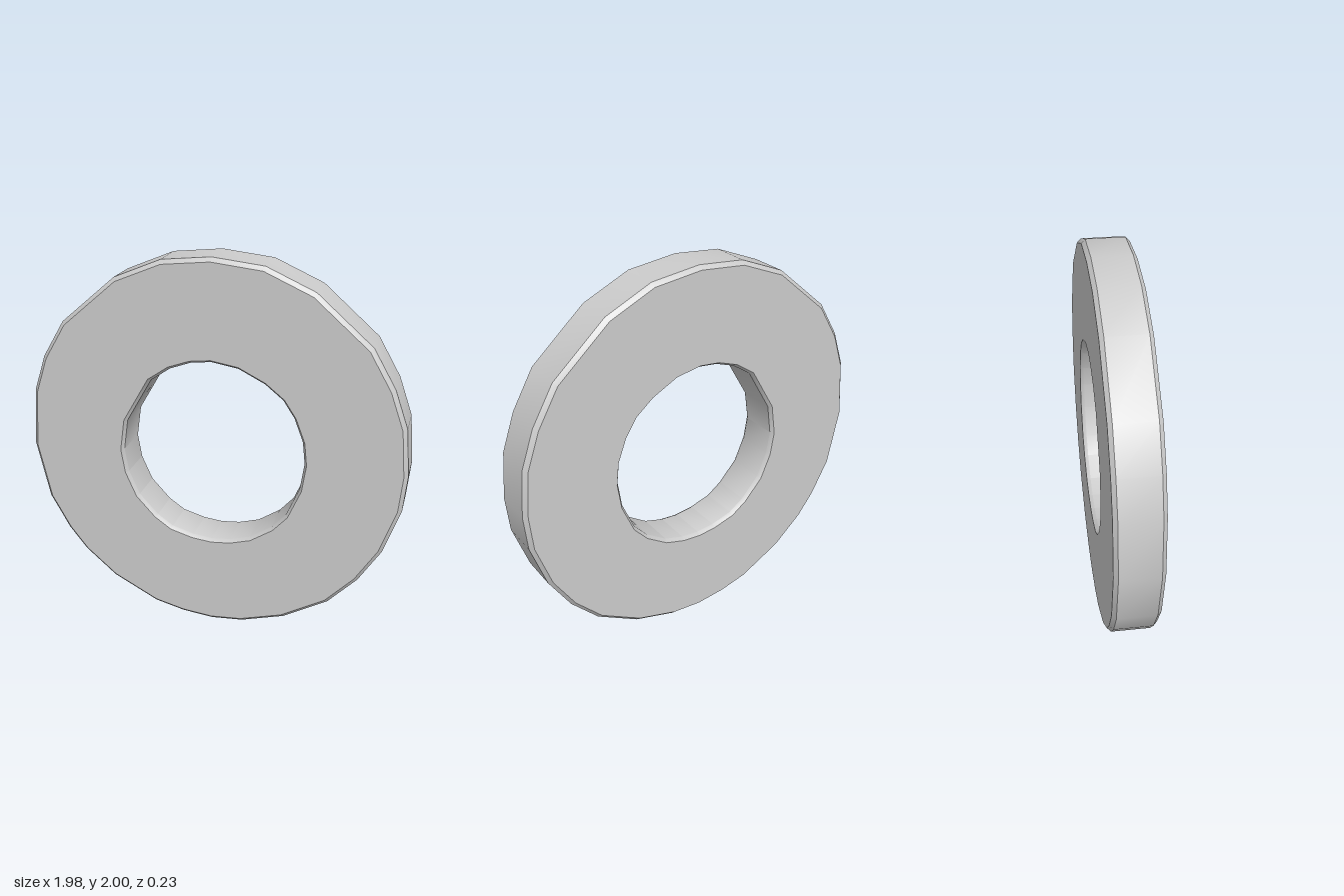
import * as THREE from 'three';
import { toCreasedNormals } from 'three/addons/utils/BufferGeometryUtils.js';

// Uneven outlines, counter-clockwise from the right, about the ring's centre
const OUTER = [
  [0.987, 0], [0.963, 0.245], [0.893, 0.436], [0.78, 0.628], [0.503, 0.867], [0.26, 0.973], [0, 1],
  [-0.25, 0.973], [-0.493, 0.872], [-0.78, 0.628], [-0.897, 0.436], [-0.963, 0.245], [-0.989, -0.063],
  [-0.925, -0.372], [-0.824, -0.557], [-0.729, -0.679], [-0.564, -0.822], [-0.324, -0.946],
  [-0.165, -0.984], [0, -1], [0.17, -0.984], [0.4, -0.914], [0.633, -0.775], [0.78, -0.616],
  [0.893, -0.43], [0.972, -0.19],
];
const BORE = [
  [0.48, 0], [0.467, 0.118], [0.42, 0.24], [0.362, 0.327], [0.27, 0.4], [0.135, 0.466], [0, 0.487],
  [-0.105, 0.474], [-0.213, 0.434], [-0.317, 0.362], [-0.452, 0.129], [-0.476, -0.036],
  [-0.456, -0.161], [-0.4, -0.29], [-0.3, -0.398], [-0.217, -0.455], [-0.1, -0.487], [0, -0.497],
  [0.1, -0.487], [0.207, -0.455], [0.322, -0.378], [0.395, -0.295], [0.46, -0.14],
];
const HALF = 0.117, CHAMFER = 0.02, MOUTH = 0.987;

const toVectors = (list) => list.map(([x, y]) => new THREE.Vector2(x, y));

export function createModel() {
  const group = new THREE.Group();
  group.name = 'washer';

  // Chamfered ring with a through hole
  const shape = new THREE.Shape(toVectors(OUTER));
  shape.holes.push(new THREE.Path(toVectors(BORE).reverse()));
  const depth = 2 * (HALF - CHAMFER);
  let geometry = new THREE.ExtrudeGeometry(shape, {
    depth, bevelEnabled: true, bevelSegments: 1,
    bevelSize: CHAMFER, bevelThickness: CHAMFER, bevelOffset: -CHAMFER,
  });
  geometry.translate(0, 0, -depth / 2);

  // The bore's chamfer is narrower than the rim's
  const p = geometry.attributes.position;
  for (let i = 0; i < p.count; i++) {
    const x = p.getX(i), y = p.getY(i);
    if (Math.hypot(x, y) < 0.7 && Math.abs(p.getZ(i)) > HALF - CHAMFER / 2) {
      p.setXY(i, x * MOUTH, y * MOUTH);
    }
  }

  // Smooth around each band, sharp at the chamfer edges
  geometry = toCreasedNormals(geometry, 0.6);
  const ring = new THREE.Mesh(geometry, new THREE.MeshStandardMaterial({ color: 0xcccccc }));
  ring.name = 'ring';
  ring.position.y = 1;
  group.add(ring);
  return group;
}
